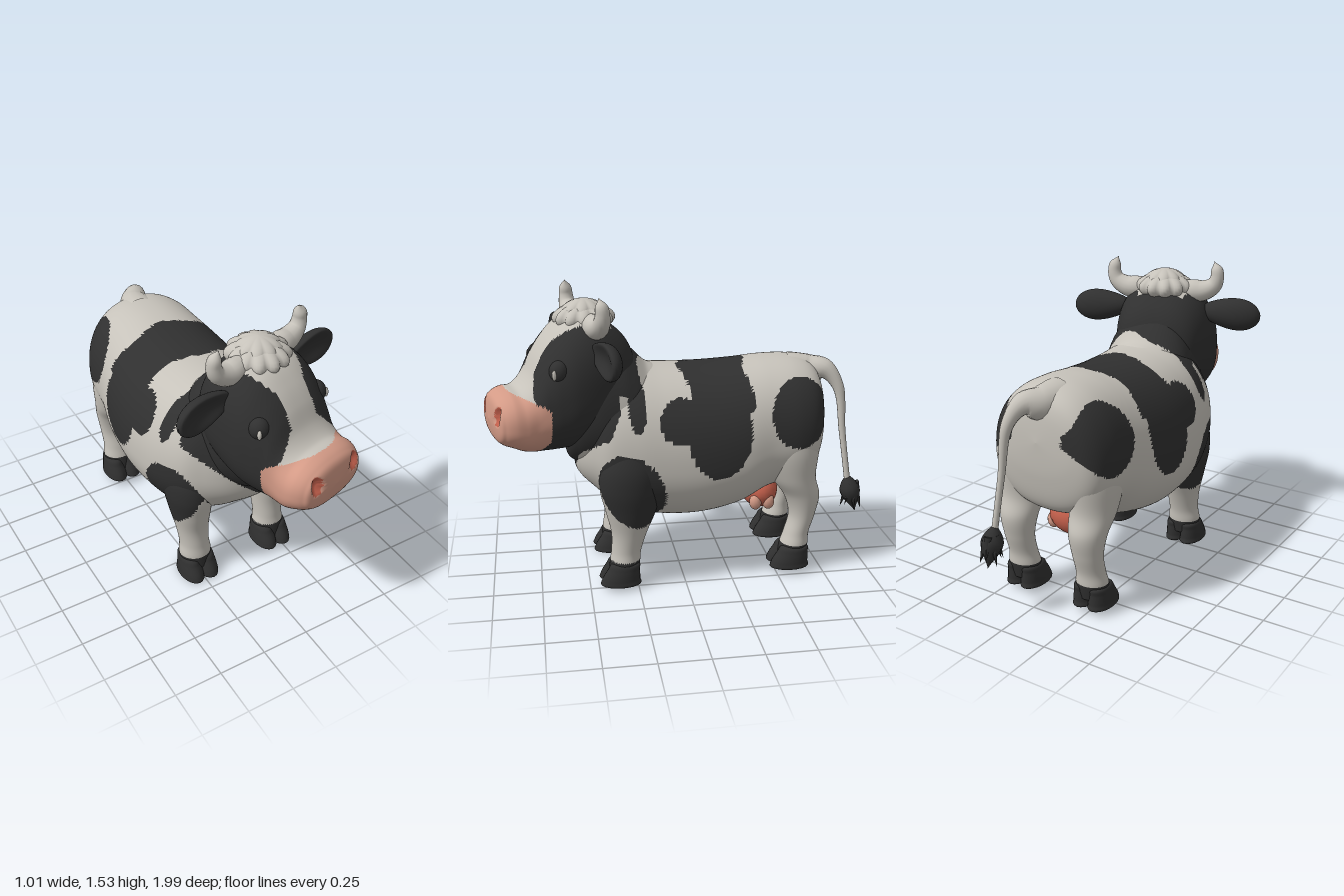
import * as THREE from 'three';

const mat = (name, color) => Object.assign(new THREE.MeshStandardMaterial({ color }), { name });
const white = mat('cream white', 0xc6c2ba), black = mat('soft black', 0x303030);
const pink = mat('muzzle pink', 0xd39a86), rose = mat('deep rose', 0xc4604c);
const PALETTE = [white, black, pink, rose];
const W = 0, B = 1, P = 2, R = 3;

// Smooth interpolation through the rows of a table, t from 0 to 1
function sample(keys, t) {
  const n = keys.length - 1, i = Math.min(Math.floor(t * n), n - 1), f = t * n - i;
  const row = k => keys[Math.max(0, Math.min(n, k))];
  return keys[i].map((p1, c) => {
    const p0 = row(i - 1)[c], p2 = row(i + 1)[c], p3 = row(i + 2)[c];
    return p1 + 0.5 * f * (p2 - p0 + f * (2 * p0 - 5 * p1 + 4 * p2 - p3 + f * (3 * (p1 - p2) + p3 - p0)));
  });
}

// Closed skin from point(t, angle), each face coloured by paint(centre)
function skin(name, point, steps, seg, paint) {
  const pos = [], faces = PALETTE.map(() => []), pts = [];
  for (let i = 0; i <= steps; i++) for (let j = 0; j < seg; j++) {
    const p = point(i / steps, j / seg * Math.PI * 2);
    pts.push(p);
    pos.push(p.x, p.y, p.z);
  }
  const mid = new THREE.Vector3();
  const tri = (a, b, c) => {
    mid.copy(pts[a]).add(pts[b]).add(pts[c]).divideScalar(3);
    faces[typeof paint === 'function' ? paint(mid) : paint].push(a, b, c);
  };
  for (let i = 0; i < steps; i++) for (let j = 0; j < seg; j++) {
    const a = i * seg + j, b = i * seg + (j + 1) % seg;
    tri(a, b, a + seg);
    tri(b, b + seg, a + seg);
  }
  const g = new THREE.BufferGeometry();
  g.setAttribute('position', new THREE.Float32BufferAttribute(pos, 3));
  g.setIndex(faces.flat());
  let start = 0;
  faces.forEach((f, m) => { if (f.length) g.addGroup(start, f.length, m); start += f.length; });
  g.computeVertexNormals();
  const mesh = new THREE.Mesh(g, PALETTE);
  mesh.name = name;
  return mesh;
}

const pow = (v, e) => Math.sign(v) * Math.abs(v) ** e;

// Loft along z; rows are [z, centre x, bottom, top, half width]
function loftZ(name, keys, e, midFrac, seg, paint, adjust) {
  return skin(name, (t, a) => {
    const [z, cx, bot, top, w] = sample(keys, t), m = bot + (top - bot) * midFrac;
    const s = pow(Math.sin(a), e);
    const p = new THREE.Vector3(cx + Math.max(0, w) * pow(Math.cos(a), e), m + s * (s > 0 ? top - m : m - bot), z);
    if (adjust) adjust(p);
    return p;
  }, (keys.length - 1) * 9, seg, paint);
}

// Loft along y; rows are [y, centre x, centre z, radius x, radius z]
function loftY(name, keys, seg, paint) {
  return skin(name, (t, a) => {
    const [y, cx, cz, rx, rz] = sample(keys, t);
    return new THREE.Vector3(cx + rx * Math.cos(a), Math.max(y, keys[0][0]), cz - rz * Math.sin(a));
  }, (keys.length - 1) * 8, seg, paint);
}

// Tapered tube along a path
function taper(name, path, radii, paint, seg = 16, steps = 32) {
  const curve = new THREE.CatmullRomCurve3(path.map(p => new THREE.Vector3(...p)));
  const fr = curve.computeFrenetFrames(steps), rk = radii.map(r => [r]);
  return skin(name, (t, a) => {
    const i = Math.round(t * steps), r = Math.max(0, sample(rk, t)[0]);
    return curve.getPointAt(t).addScaledVector(fr.normals[i], r * Math.cos(a)).addScaledVector(fr.binormals[i], r * Math.sin(a));
  }, steps, seg, paint);
}

function ball(name, material, p, s, seg = 20) {
  const m = new THREE.Mesh(new THREE.SphereGeometry(1, seg, Math.ceil(seg * 0.7)), material);
  m.position.set(...p);
  m.scale.set(...s);
  m.name = name;
  return m;
}

const inside = (u, v, cu, cv, ru, rv) => ((u - cu) / ru) ** 2 + ((v - cv) / rv) ** 2 < 1;

// Coat pattern of body, neck and legs
function coat({ x, y, z }) {
  const side = Math.abs(x + 0.045);
  if (z > 0.33 + Math.max(0, 0.95 - y) * 0.4 && y > 0.57 + 0.9 * Math.abs(x - 0.01)) return B;    // bib
  if (z > 0.21 + 0.02 * Math.sin(x * 16) && y > 1.03) return B;                                   // neck
  if (inside(z, y, 0.245, 0.98, 0.045, 0.12)) return B;
  if (y > 0.93 && z > -0.335 + 0.015 * Math.sin(x * 20) && z < -0.01 + 0.02 * Math.cos(x * 14)) return B; // saddle
  if (inside(z, y, -0.165, 0.84, 0.165, 0.235) || inside(z, y, 0.03, 0.9, 0.105, 0.11)) return B;
  if (side > 0.14 && inside(z, y, -0.595, 0.9, 0.158, 0.172)) return B;                           // haunch
  if (side > 0.185 && inside(z + (y - 0.55) * -0.2, y, 0.275, 0.55, 0.162, 0.2)) return B;        // shoulder
  return W;
}

function headCoat({ x, y, z }) {
  const s = Math.abs(x);
  if (z > 0.38 && inside(s, y, 0.13, 0.96, 0.034, 0.05)) return R;                                // nostrils
  if (z > 0.38 && s < 0.09 && Math.abs(y - 0.81 + s * s) < 0.01) return R;                        // mouth
  const edge = 0.23 + Math.max(0, y - 0.98) * 1.1 + Math.max(0, 0.82 - y) * 0.8;
  if (z > edge && y < 1.0 + Math.max(0, z - 0.24) * 0.4) return P;
  const blaze = y > 1.3 ? 0.09 + (y - 1.3) * 0.8 : 0.088 + Math.max(0, 1.15 - y) * 0.9;
  return z > -0.12 && y > 1.0 && s < blaze ? W : B;
}

function makeHead() {
  const head = new THREE.Group();
  head.name = 'head';
  head.position.z = 0.5;
  head.rotation.y = 0.26;
  head.add(loftZ('skull and muzzle', [
    [-0.26, 0, 1.08, 1.08, 0], [-0.25, 0, 0.95, 1.2, 0.12], [-0.2, 0, 0.88, 1.3, 0.2], [-0.1, 0, 0.82, 1.38, 0.25],
    [0, 0, 0.77, 1.42, 0.27], [0.1, 0, 0.74, 1.385, 0.272], [0.18, 0, 0.735, 1.31, 0.255], [0.24, 0, 0.735, 1.225, 0.235],
    [0.29, 0, 0.738, 1.125, 0.225], [0.345, 0, 0.75, 1.07, 0.226], [0.4, 0, 0.775, 1.063, 0.222], [0.445, 0, 0.795, 1.045, 0.2],
    [0.475, 0, 0.83, 1.01, 0.16], [0.489, 0, 0.92, 0.92, 0],
  ], 0.83, 0.45, 108, headCoat, p => {
    if (p.z < 0.38) return;                                      // hollow the nostrils
    const d = ((Math.abs(p.x) - 0.13) / 0.034) ** 2 + ((p.y - 0.96) / 0.05) ** 2;
    p.z -= 0.03 * Math.max(0, 1 - d);
  }));

  for (const s of [-1, 1]) {
    const side = s > 0 ? 'left' : 'right';
    head.add(ball(side + ' eye', black, [s * 0.197, 1.17, 0.175], [0.05, 0.058, 0.05]));
    head.add(ball(side + ' eye glint', white, [s * 0.232, 1.165, 0.21], [0.01, 0.026, 0.012], 10));
    head.add(taper(side + ' horn', [[s * 0.12, 1.37, -0.02], [s * 0.21, 1.37, -0.02], [s * 0.272, 1.405, -0.02], [s * 0.288, 1.46, -0.02], [s * 0.268, 1.53, -0.01]],
      [0.055, 0.06, 0.057, 0.05, 0.042, 0.036, 0.03, 0], W, 16, 40));

    // Leaf-shaped ear, broad outside, with a cupped front
    const g = new THREE.SphereGeometry(1, 32, 24), v = g.attributes.position;
    for (let i = 0; i < v.count; i++) {
      const x = v.getX(i), y = v.getY(i), z = v.getZ(i), out = x * s;
      const wide = 0.84 + 0.16 * Math.sin(out * 1.5);
      v.setXYZ(i, x * 0.165, y * 0.1 * wide, (z > 0 ? z * (1 - 1.1 * z) : z) * 0.068);
    }
    g.computeVertexNormals();
    const ear = new THREE.Mesh(g, black);
    ear.name = side + ' ear';
    ear.position.set(s * 0.36, 1.25, 0);
    ear.rotation.z = -s * 0.06;
    head.add(ear);
  }

  // Forelock of two stacked caps with scalloped rims
  const hair = new THREE.Group();
  hair.name = 'forelock';
  for (const [r, y, h, lobes] of [[0.15, 1.385, 0.075, 12], [0.112, 1.41, 0.07, 9]]) {
    const g = new THREE.SphereGeometry(1, 72, 16), v = g.attributes.position;
    for (let i = 0; i < v.count; i++) {
      const x = v.getX(i), z = v.getZ(i), wave = Math.abs(Math.sin(Math.atan2(z, x) * lobes / 2));
      const k = r * (0.9 + 0.16 * wave * Math.hypot(x, z));
      v.setXYZ(i, x * k, v.getY(i) * h, z * k);
    }
    g.computeVertexNormals();
    const cap = new THREE.Mesh(g, white);
    cap.name = 'forelock curls';
    cap.position.set(0, y, -0.02);
    hair.add(cap);
  }
  head.add(hair);
  return head;
}

// Leg with a cloven hoof whose toes lean back towards the ankle
function makeLeg(name, keys, lift, hoofZ) {
  const leg = new THREE.Group();
  leg.name = name;
  leg.add(loftY(name + ' limb', keys, 48, p => p.y < 0.13 + lift ? B : coat(p)));
  for (const s of [-1, 1]) {
    const cx = keys[0][1] + s * 0.043;
    leg.add(loftY('hoof toe', [[lift, cx, hoofZ, 0, 0], [lift, cx, hoofZ, 0.056, 0.098], [lift + 0.03, cx, hoofZ, 0.059, 0.1],
      [lift + 0.08, cx, hoofZ - 0.014, 0.053, 0.084], [lift + 0.115, cx, hoofZ - 0.025, 0.042, 0.07], [lift + 0.128, cx, hoofZ - 0.025, 0, 0]], 20, B));
  }
  return leg;
}

export function createModel() {
  const cow = new THREE.Group();
  cow.name = 'cow';

  cow.add(loftZ('body', [
    [-0.76, -0.05, 0.88, 0.88, 0], [-0.745, -0.05, 0.7, 1.03, 0.19], [-0.7, -0.05, 0.54, 1.105, 0.285], [-0.6, -0.05, 0.48, 1.138, 0.33],
    [-0.45, -0.05, 0.44, 1.14, 0.345], [-0.3, -0.05, 0.365, 1.125, 0.375], [-0.1, -0.05, 0.322, 1.115, 0.39], [0.1, -0.045, 0.325, 1.12, 0.385],
    [0.25, -0.04, 0.36, 1.13, 0.37], [0.38, -0.03, 0.43, 1.1, 0.33], [0.46, -0.02, 0.5, 1.03, 0.26], [0.52, -0.01, 0.56, 0.95, 0.18],
    [0.55, 0, 0.62, 0.85, 0.1], [0.56, 0, 0.74, 0.74, 0],
  ], 0.9, 0.42, 140, coat));

  cow.add(loftZ('neck', [
    [0.05, -0.04, 0.9, 0.9, 0], [0.1, -0.04, 0.65, 1.09, 0.2], [0.18, -0.03, 0.62, 1.145, 0.245], [0.25, -0.02, 0.61, 1.215, 0.26],
    [0.32, -0.01, 0.61, 1.265, 0.262], [0.43, 0, 0.61, 1.28, 0.258], [0.53, 0.01, 0.64, 1.2, 0.225], [0.59, 0.02, 0.69, 1.1, 0.15], [0.61, 0.02, 0.85, 0.85, 0],
  ], 0.95, 0.45, 90, coat));

  for (const s of [-1, 1]) {
    const side = s > 0 ? 'left' : 'right', f = d => -0.02 + s * d, h = d => -0.045 + s * d;
    cow.add(makeLeg(side + ' front leg', [
      [0.06, f(0.23), 0.325, 0.075, 0.075], [0.13, f(0.23), 0.317, 0.086, 0.079], [0.2, f(0.23), 0.308, 0.079, 0.078], [0.3, f(0.233), 0.292, 0.087, 0.093],
      [0.42, f(0.24), 0.282, 0.105, 0.13], [0.55, f(0.245), 0.28, 0.122, 0.16], [0.68, f(0.24), 0.27, 0.12, 0.16], [0.82, f(0.2), 0.25, 0.1, 0.12],
      [0.86, f(0.18), 0.25, 0, 0],
    ], s > 0 ? 0.02 : 0, 0.342));
    cow.add(makeLeg(side + ' hind leg', [
      [0.08, h(0.205), -0.59, 0.075, 0.075], [0.15, h(0.205), -0.602, 0.084, 0.075], [0.22, h(0.205), -0.615, 0.076, 0.066], [0.32, h(0.205), -0.64, 0.08, 0.07],
      [0.43, h(0.205), -0.635, 0.096, 0.095], [0.54, h(0.205), -0.585, 0.116, 0.12], [0.7, h(0.2), -0.56, 0.13, 0.16], [0.86, h(0.17), -0.56, 0.12, 0.16],
      [0.95, h(0.15), -0.56, 0, 0],
    ], 0.03, -0.572));
  }

  // Udder with four teats
  const udder = new THREE.Group();
  udder.name = 'udder';
  udder.add(ball('udder bag', rose, [-0.04, 0.395, -0.45], [0.135, 0.1, 0.1]));
  for (const x of [-0.155, 0.075]) for (const z of [-0.41, -0.48])
    udder.add(ball('teat', pink, [x * 0.85, 0.355, z], [0.034, 0.045, 0.034], 12));
  cow.add(udder);

  // Tail and its tuft
  cow.add(taper('tail', [[-0.06, 1.04, -0.6], [-0.04, 1.055, -0.71], [0, 1.065, -0.78], [0.04, 0.98, -0.845], [0.065, 0.73, -0.875], [0.09, 0.46, -0.91]],
    [0.11, 0.08, 0.042, 0.026, 0.02, 0.017, 0.016, 0.016], W, 16, 60));
  const tuft = new THREE.Group();
  tuft.name = 'tail tuft';
  tuft.add(taper('tuft core', [[0.087, 0.5, -0.905], [0.095, 0.39, -0.93], [0.1, 0.28, -0.96]], [0, 0.035, 0.054, 0.046, 0.022, 0], B, 10, 16));
  for (let i = 0; i < 7; i++) {
    const a = i / 7 * Math.PI * 2, lock = new THREE.Mesh(new THREE.ConeGeometry(0.022, 0.12, 6), black);
    lock.name = 'tuft lock';
    lock.position.set(0.095 + Math.cos(a) * 0.04, 0.365 + 0.025 * (i % 2), -0.935 + Math.sin(a) * 0.04);
    lock.quaternion.setFromUnitVectors(new THREE.Vector3(0, 1, 0), new THREE.Vector3(Math.cos(a) * 0.3, -1, Math.sin(a) * 0.3).normalize());
    tuft.add(lock);
  }
  cow.add(tuft);

  cow.add(makeHead());
  return cow;
}
